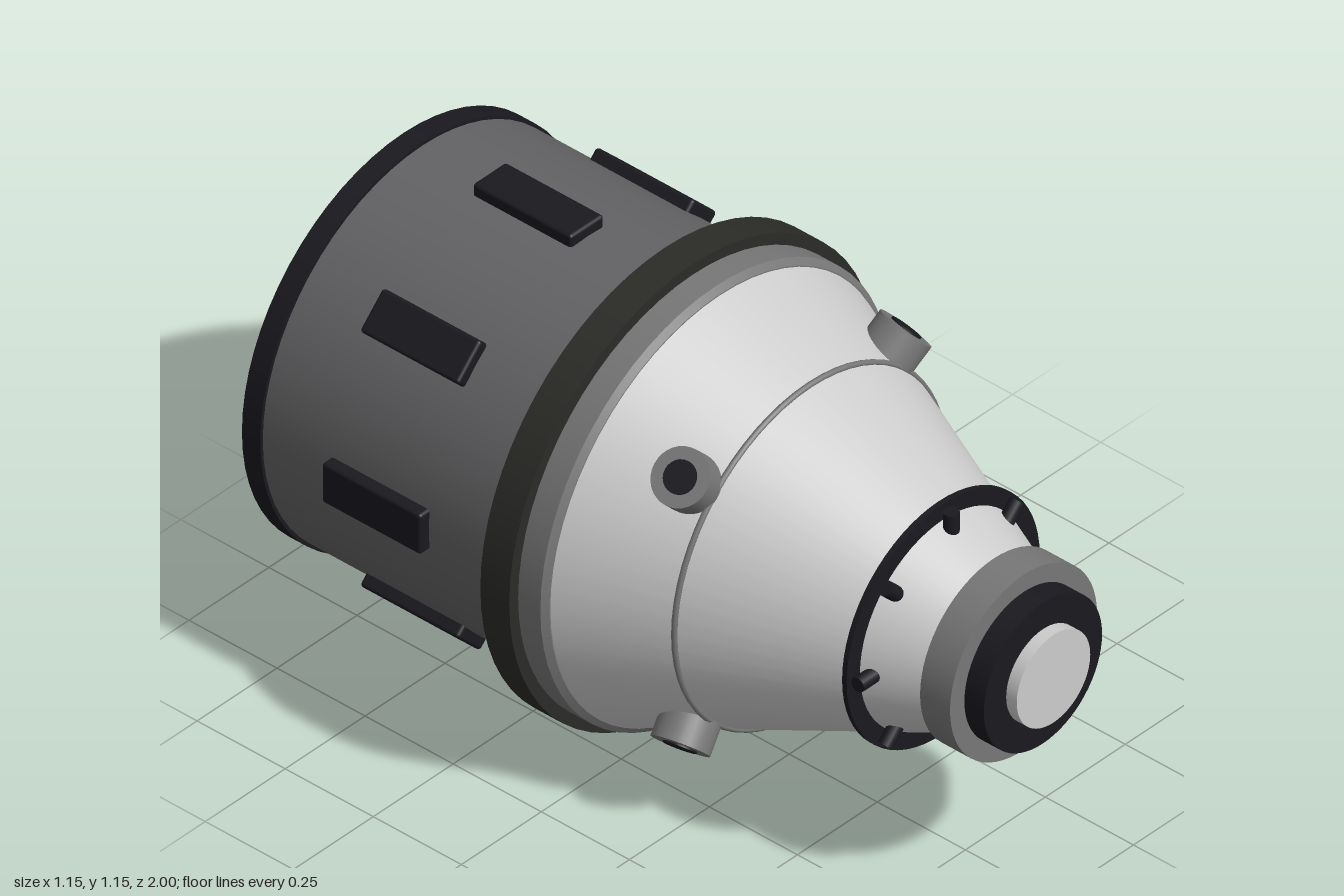
import * as THREE from 'three';
import { RoundedBoxGeometry } from 'three/addons/geometries/RoundedBoxGeometry.js';

const AXIS_Y = 0.575;
const mat = (color) => new THREE.MeshStandardMaterial({ color });
const LIGHT = mat(0xcccccc), MID = mat(0x777777), HULL = mat(0x636365);
const FLANGE = mat(0x2b2b28), DARK = mat(0x19191f), BLUE = mat(0x0d92d2);

export function createModel() {
  const model = new THREE.Group();
  const ship = new THREE.Group();
  ship.name = 'capsule';
  ship.position.y = AXIS_Y;
  model.add(ship);

  const add = (name, geometry, material, parent = ship) => {
    const mesh = new THREE.Mesh(geometry, material);
    mesh.name = name;
    parent.add(mesh);
    return mesh;
  };
  // Round section along z, from zBack to zFront
  const section = (name, rBack, rFront, zBack, zFront, material, x = 0, y = 0, seg = 64) => {
    const g = new THREE.CylinderGeometry(rFront, rBack, zFront - zBack, seg);
    g.rotateX(Math.PI / 2);
    add(name, g, material).position.set(x, y, (zBack + zFront) / 2);
  };
  // Pivots around the long axis; +y points outward in each
  const radial = (name, count, offset, build) => {
    for (let i = 0; i < count; i++) {
      const pivot = new THREE.Group();
      pivot.name = name;
      pivot.rotation.z = offset + (i / count) * Math.PI * 2;
      build(pivot);
      ship.add(pivot);
    }
  };

  // Crew cone and nose
  section('crewCone', 0.53, 0.2, 0.05, 0.83, LIGHT);
  section('noseCollar', 0.23, 0.23, 0.83, 0.915, MID);
  section('dockingRing', 0.185, 0.185, 0.91, 0.97, DARK);
  section('dockingHatch', 0.115, 0.115, 0.965, 1.0, LIGHT);
  section('noseBand', 0.302, 0.302, 0.674, 0.687, DARK);
  add('coneSeam', new THREE.TorusGeometry(0.422, 0.007, 8, 64), MID).position.z = 0.307;

  // Joint between cone and service hull
  section('heatShieldRim', 0.547, 0.547, -0.03, 0.04, MID);
  section('heatShieldLip', 0.547, 0.532, 0.04, 0.052, MID);
  section('mainFlange', 0.575, 0.575, -0.105, -0.023, FLANGE);

  // Service hull
  section('serviceHull', 0.497, 0.497, -0.8, -0.1, HULL);
  section('aftPlate', 0.505, 0.505, -0.845, -0.793, DARK);

  radial('hullPanel', 8, 0, (p) =>
    add('panel', new RoundedBoxGeometry(0.104, 0.05, 0.28, 2, 0.008), DARK, p)
      .position.set(0, 0.499, -0.462));

  radial('noseBolt', 8, 0, (p) =>
    add('bolt', new THREE.CylinderGeometry(0.018, 0.018, 0.05, 16), DARK, p)
      .position.set(0, 0.268, 0.71));

  // Attitude thrusters, leaning slightly forward
  radial('thruster', 4, Math.PI / 4, (p) => {
    const pod = new THREE.Group();
    pod.name = 'thrusterPod';
    pod.position.set(0, 0.435, 0.25);
    pod.rotation.x = 0.17;
    p.add(pod);
    add('thrusterBody', new THREE.CylinderGeometry(0.067, 0.067, 0.13, 32), MID, pod);
    add('thrusterNozzle', new THREE.CylinderGeometry(0.038, 0.038, 0.02, 24), DARK, pod)
      .position.y = 0.059;
  });

  // Engines
  section('mainEngine', 0.1, 0.1, -0.985, -0.84, DARK, 0, 0, 40);
  section('mainEngineGlow', 0.067, 0.067, -1.0, -0.97, BLUE, 0, 0, 40);
  for (const x of [-0.165, 0.165]) for (const y of [-0.165, 0.165]) {
    section('sideEngine', 0.065, 0.065, -0.972, -0.84, DARK, x, y, 32);
    section('sideEngineGlow', 0.042, 0.042, -0.99, -0.96, BLUE, x, y, 32);
    add('sideEngineRing', new THREE.TorusGeometry(0.082, 0.006, 8, 40), MID)
      .position.set(x, y, -0.845);
  }
  return model;
}
